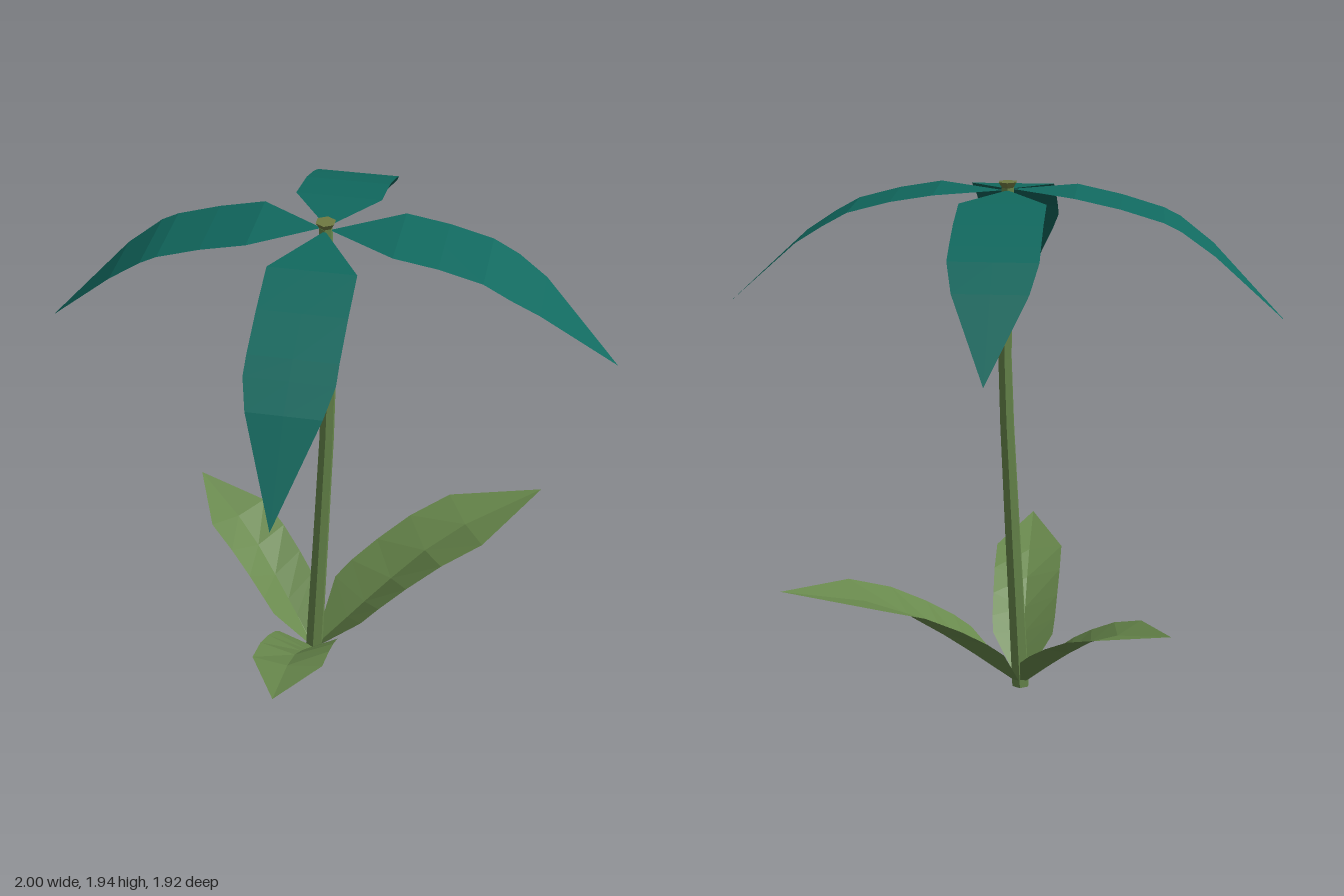
import * as THREE from 'three';

const petalTeal = new THREE.MeshStandardMaterial({ color: 0x11695f, side: THREE.DoubleSide });
const leafGreen = new THREE.MeshStandardMaterial({ color: 0x68884c, side: THREE.DoubleSide });
const budOlive = new THREE.MeshStandardMaterial({ color: 0x6f7a42 });

// Faceted blade running outward along +x; each station is [distance, edge height, half width, midrib drop]
function bladeGeometry(stations) {
  const pos = [];
  const idx = [];
  stations.forEach(([d, y, w, drop], i) => {
    pos.push(d, y, -w, d, y - drop, 0, d, y, w);
    if (i === 0) return;
    for (let c = 0; c < 2; c++) {
      const a = (i - 1) * 3 + c;
      idx.push(a, a + 1, a + 4, a, a + 4, a + 3);
    }
  });
  const indexed = new THREE.BufferGeometry();
  indexed.setAttribute('position', new THREE.Float32BufferAttribute(pos, 3));
  indexed.setIndex(idx);
  const g = indexed.toNonIndexed();
  g.computeVertexNormals();
  return g;
}

function addBlade(group, name, stations, material, origin, dx, dz, scale = 1) {
  const mesh = new THREE.Mesh(bladeGeometry(stations), material);
  mesh.name = name;
  mesh.position.set(...origin);
  mesh.rotation.y = Math.atan2(-dz, dx);
  mesh.scale.setScalar(scale);
  group.add(mesh);
}

export function createModel() {
  const group = new THREE.Group();
  group.name = 'flower';

  // Six-sided stem, tapered and gently bowed sideways
  const bow = new THREE.CatmullRomCurve3(
    [[-0.06, 0], [-0.04, 0.4], [-0.02, 0.8], [0, 1.3], [-0.01, 1.92]].map(([x, y]) => new THREE.Vector3(x, y, 0.03))
  );
  const stemGeo = new THREE.CylinderGeometry(0.024, 0.035, 1.92, 6, 8).translate(0, 0.96, 0);
  const p = stemGeo.attributes.position;
  for (let i = 0; i < p.count; i++) {
    const c = bow.getPoint(p.getY(i) / 1.92);
    p.setXYZ(i, p.getX(i) + c.x, c.y, p.getZ(i) + c.z);
  }
  const flatStem = stemGeo.toNonIndexed();
  flatStem.computeVertexNormals();
  const stem = new THREE.Mesh(flatStem, leafGreen);
  stem.name = 'stem';
  group.add(stem);

  // Small flared bud on top of the stem
  const budGeo = new THREE.CylinderGeometry(0.036, 0.02, 0.025, 6).toNonIndexed();
  budGeo.computeVertexNormals();
  const bud = new THREE.Mesh(budGeo, budOlive);
  bud.name = 'bud';
  bud.position.set(-0.01, 1.928, 0.03);
  group.add(bud);

  // Four drooping petals: [distance, height] along each, sharing one outline
  const widths = [0.004, 0.15, 0.15, 0.15, 0.15, 0.125, 0];
  const petals = [
    ['leftPetal', 1, 0, [[0.02, 1.91], [0.25, 1.915], [0.4, 1.89], [0.55, 1.85], [0.64, 1.8], [0.74, 1.735], [1.01, 1.49]]],
    ['rightPetal', -1, 0, [[0.02, 1.915], [0.24, 1.91], [0.4, 1.875], [0.55, 1.83], [0.61, 1.8], [0.73, 1.71], [0.99, 1.455]]],
    ['backPetal', 0, -1, [[0.02, 1.912], [0.24, 1.905], [0.42, 1.87], [0.55, 1.825], [0.63, 1.79], [0.74, 1.71], [0.99, 1.475]]],
    ['frontPetal', 0, 1, [[0.02, 1.912], [0.24, 1.893], [0.4, 1.83], [0.55, 1.755], [0.61, 1.71], [0.7, 1.64], [0.93, 1.355]]],
  ];
  for (const [name, dx, dz, path] of petals) {
    addBlade(group, name, path.map(([d, y], i) => [d, y, widths[i], 0]), petalTeal, [-0.01, 0, 0.03], dx, dz);
  }

  // Three folded leaves at the base, one shape at different sizes
  const leaf = [
    [0, 0, 0.005, 0], [0.14, 0.21, 0.147, 0.09], [0.21, 0.27, 0.155, 0.09], [0.32, 0.345, 0.16, 0.075],
    [0.46, 0.425, 0.165, 0.05], [0.627, 0.487, 0.165, 0.025], [0.945, 0.555, 0, 0],
  ];
  const base = [-0.06, 0, 0.03];
  addBlade(group, 'largeLeaf', leaf, leafGreen, base, 0.82, -0.47);
  addBlade(group, 'backLeaf', leaf, leafGreen, base, -0.56, -0.48, 0.78);
  addBlade(group, 'frontLeaf', leaf, leafGreen, base, 0, 1, 0.785);

  return group;
}
